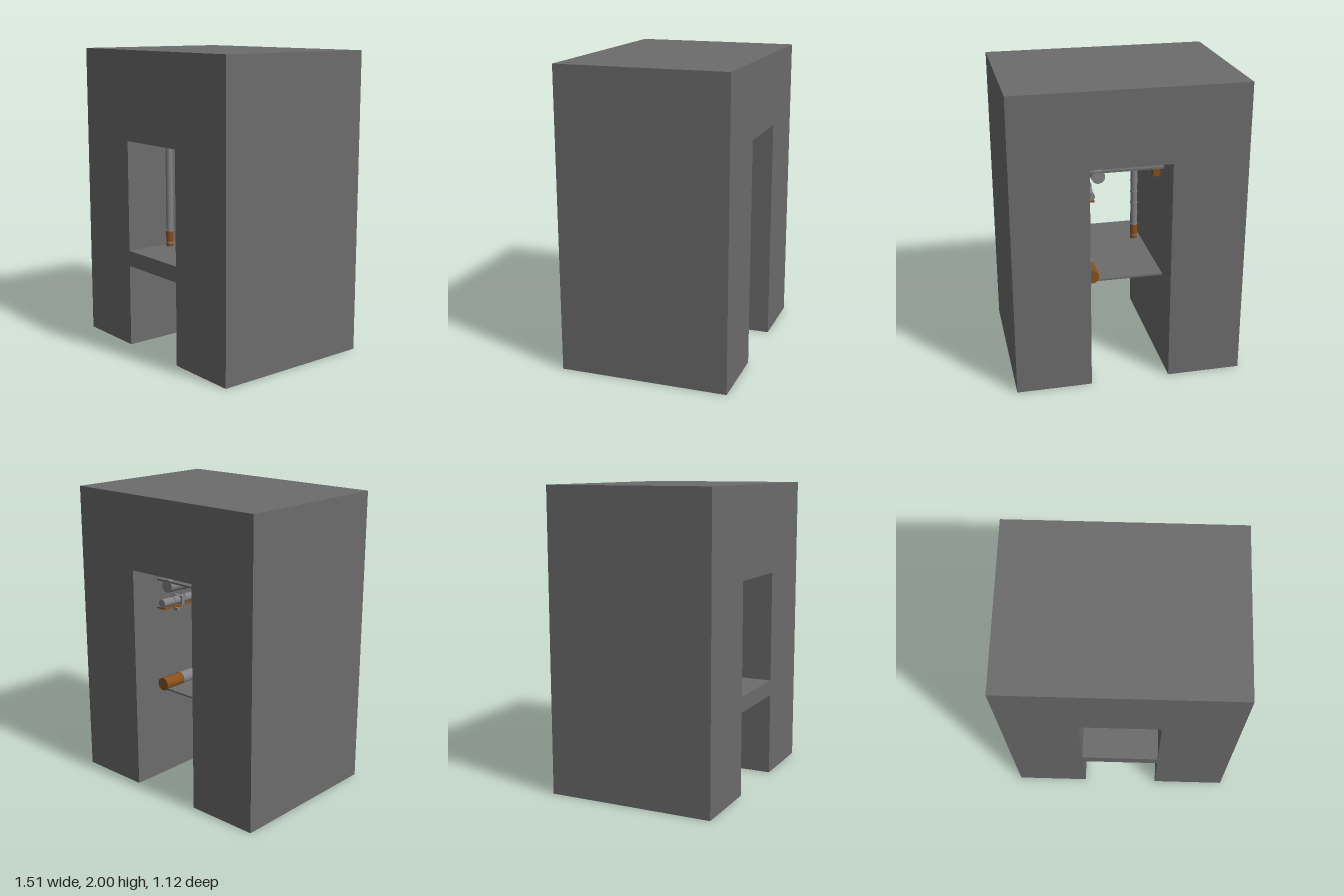
import * as THREE from 'three';

export function createModel() {
  const model = new THREE.Group();
  const mat = (name, color) => {
    const m = new THREE.MeshStandardMaterial({ color });
    m.name = name;
    return m;
  };
  const concrete = mat('concrete grey', 0x6c6c6c);
  const steel = mat('pipe grey', 0x828286);
  const copper = mat('copper brown', 0x87501c);

  const add = (name, geometry, material, parent = model) => {
    const mesh = new THREE.Mesh(geometry, material);
    mesh.name = name;
    parent.add(mesh);
    return mesh;
  };
  // box from its two opposite corners
  const box = (name, a, b, material, parent) => {
    const mesh = add(name, new THREE.BoxGeometry(b[0] - a[0], b[1] - a[1], b[2] - a[2]), material, parent);
    mesh.position.set((a[0] + b[0]) / 2, (a[1] + b[1]) / 2, (a[2] + b[2]) / 2);
  };
  // straight cylinder between two points
  const rod = (name, a, b, r, material, parent) => {
    const mesh = add(name, new THREE.CylinderGeometry(r, r, a.distanceTo(b), 24), material, parent);
    mesh.position.copy(a).lerp(b, 0.5);
    mesh.quaternion.setFromUnitVectors(new THREE.Vector3(0, 1, 0), b.clone().sub(a).normalize());
  };
  // segmented pipe with thin joint rings; `ends` are the lengths of the copper sleeves
  const pipe = (name, from, to, r, step, ends) => {
    const group = new THREE.Group();
    group.name = name;
    model.add(group);
    const a = new THREE.Vector3(...from), b = new THREE.Vector3(...to);
    const length = a.distanceTo(b);
    const at = (d) => a.clone().lerp(b, d / length);
    if (ends[0]) rod('startSleeve', a, at(ends[0]), r, copper, group);
    if (ends[1]) rod('endSleeve', at(length - ends[1]), b, r, copper, group);
    rod('pipeBody', at(ends[0]), at(length - ends[1]), r * 0.96, steel, group);
    for (let d = ends[0] || step; d < length - 0.005; d += step) {
      rod('jointRing', at(d - 0.004), at(d + 0.004), r * 1.1, steel, group);
    }
  };
  const elbow = (name, p, r) => add(name, new THREE.SphereGeometry(r, 24, 16), copper).position.set(...p);

  // massive arch-shaped shell
  const L = -0.265, R = 0.26, D = 0.56, inner = 0.35;
  const outline = [[-0.757, 0], [L, 0], [L, 1.51], [R, 1.51], [R, 0], [0.757, 0], [0.757, 2], [-0.757, 2]];
  const shape = new THREE.Shape(outline.map((p) => new THREE.Vector2(...p)));
  const shell = new THREE.ExtrudeGeometry(shape, { depth: 2 * D, bevelEnabled: false });
  shell.translate(0, 0, -D);
  add('archShell', shell, concrete);

  // passage floor and ceiling, with thick lips at the front
  box('floorPlate', [L, 0.648, -inner], [R, 0.66, inner], concrete);
  box('ceilingPlate', [L, 1.405, -inner], [R, 1.417, inner], concrete);
  box('floorLip', [L, 0.555, inner], [R, 0.66, D], concrete);
  box('ceilingLip', [L, 1.405, inner], [R, 1.51, D], concrete);

  // slim pipe on the right: along the ceiling, then down through the floor
  pipe('slimCeilingPipe', [-0.215, 1.38, -0.355], [-0.215, 1.38, 0.26], 0.025, 0.083, [0.1, 0.06]);
  elbow('slimElbow', [-0.215, 1.38, 0.26], 0.026);
  pipe('slimDownPipe', [-0.215, 1.38, 0.26], [-0.215, 0.66, 0.26], 0.025, 0.083, [0.03, 0.11]);
  pipe('slimOutlet', [-0.215, 0.66, 0.26], [-0.215, 0.525, 0.26], 0.025, 0.083, [0, 0]);

  // thick pipe on the left: along the floor, then down through it
  pipe('thickFloorPipe', [0.21, 0.685, -0.36], [0.21, 0.685, 0.26], 0.045, 0.15, [0.16, 0.1]);
  elbow('thickElbow', [0.21, 0.685, 0.26], 0.047);
  pipe('thickDownPipe', [0.21, 0.685, 0.26], [0.21, 0.31, 0.26], 0.045, 0.145, [0.23, 0]);

  // overhead pipe under the ceiling
  pipe('overheadPipe', [0.165, 1.38, -0.35], [0.165, 1.38, 0.26], 0.046, 0.15, [0, 0.1]);
  elbow('overheadEnd', [0.165, 1.38, 0.26], 0.05);

  // wall conduit on stepped brackets
  pipe('wallConduit', [0.217, 1.25, -0.35], [0.217, 1.25, 0.26], 0.03, 0.1, [0, 0.06]);
  box('conduitRail', [0.19, 1.212, -0.35], [R, 1.222, 0.25], copper);
  for (const z of [-0.2, 0.02, 0.24]) {
    box('bracketClamp', [0.18, 1.218, z], [R, 1.28, z + 0.025], steel);
    box('bracketStep', [0.212, 1.195, z], [R, 1.22, z + 0.025], copper);
    box('bracketFoot', [0.225, 1.165, z], [R, 1.187, z + 0.025], steel);
  }
  box('conduitCap', [0.186, 1.228, 0.26], [0.248, 1.272, 0.285], copper);

  return model;
}
